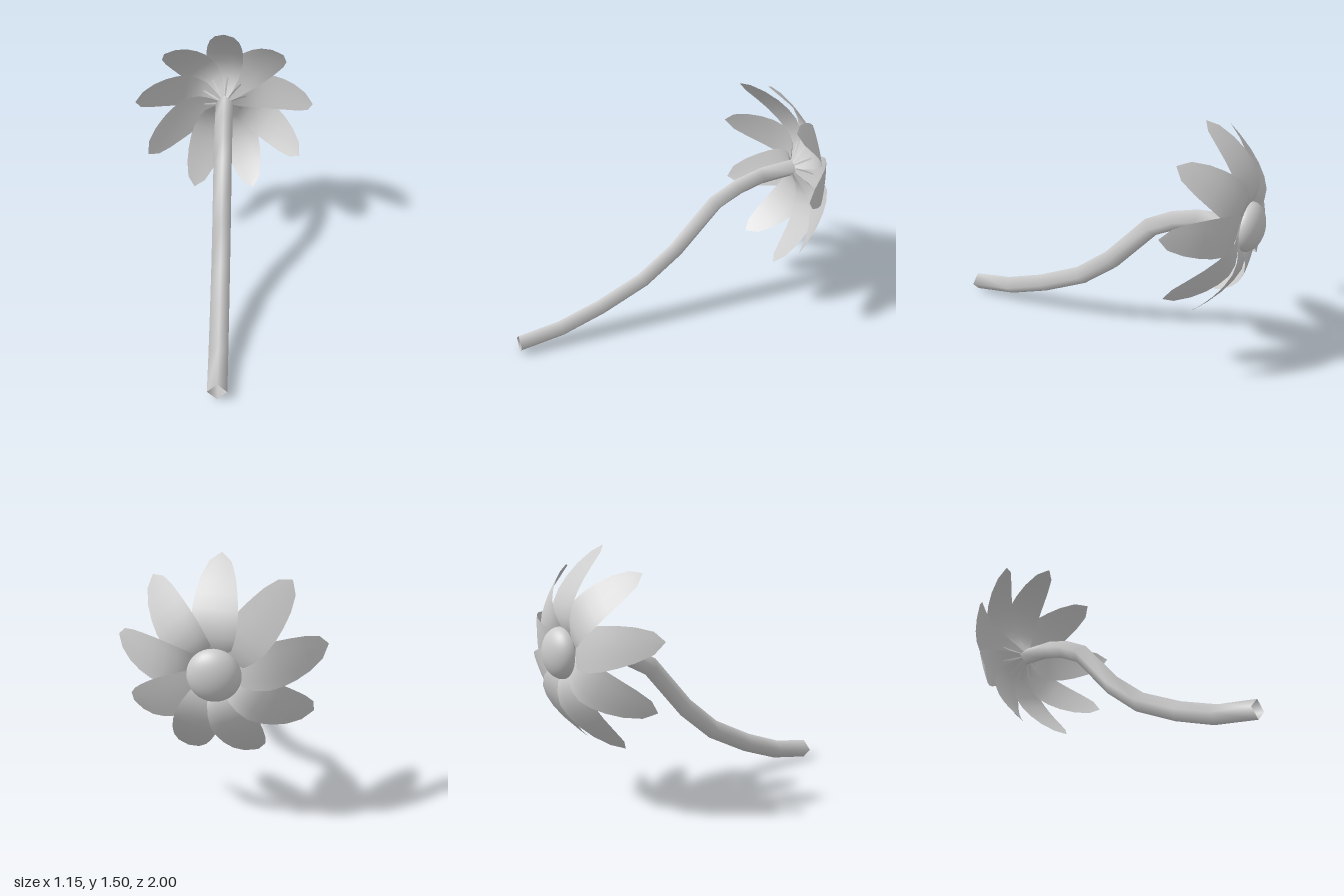
import * as THREE from 'three';

// Smooth surface through rows of points; wrap closes each row into a ring
function loft(rows, wrap) {
  const n = rows[0].length, cols = wrap ? n : n - 1, index = [];
  for (let i = 0; i < rows.length - 1; i++) {
    for (let j = 0; j < cols; j++) {
      const a = i * n + j, b = i * n + (j + 1) % n, c = a + n, d = b + n;
      index.push(a, b, c, b, d, c);
    }
  }
  const geo = new THREE.BufferGeometry();
  geo.setAttribute('position', new THREE.Float32BufferAttribute(rows.flat(2), 3));
  geo.setIndex(index);
  geo.computeVertexNormals();
  return geo;
}

// Square stem, set on edge and open at both ends
function stemGeometry() {
  const path = [[1, 0.06], [0.73, 0.1], [0.47, 0.188], [0.185, 0.32], [-0.035, 0.49],
    [-0.3, 0.775], [-0.455, 0.855], [-0.61, 0.9], [-0.82, 0.915]];
  const r = 0.058, last = path.length - 1;
  const rows = path.map(([z, y], i) => {
    const p = path[Math.max(i - 1, 0)], q = path[Math.min(i + 1, last)];
    const len = Math.hypot(q[0] - p[0], q[1] - p[1]);
    // the end cuts are upright
    const end = i === 0 || i === last;
    const uy = end ? 1 : (p[0] - q[0]) / len, uz = end ? 0 : (q[1] - p[1]) / len;
    return [[0, y + uy * r, z + uz * r], [-r, y, z], [0, y - uy * r, z - uz * r], [r, y, z]];
  });
  return loft(rows, true);
}

// One upright petal: [distance from centre, z, half width]
function petalGeometry() {
  const profile = [[0.03, -0.83, 0.025], [0.08, -0.865, 0.06], [0.14, -0.9, 0.092], [0.2, -0.91, 0.11],
    [0.27, -0.9, 0.122], [0.34, -0.865, 0.121], [0.41, -0.815, 0.111], [0.48, -0.75, 0.093],
    [0.545, -0.675, 0.06], [0.582, -0.625, 0.002]];
  const rows = profile.map(([r, z, w]) => [-1, -0.5, 0, 0.5, 1].map(t =>
    // the clockwise edge leans forward over its neighbour
    [t * w, r, z + t * w * 0.13 + 0.006 * t * t * (w / 0.12)]));
  return loft(rows, false);
}

export function createModel() {
  const grey = new THREE.MeshStandardMaterial({ color: 0xcccccc, side: THREE.DoubleSide });
  grey.name = 'light grey';
  const model = new THREE.Group();
  model.name = 'flower';

  const stem = new THREE.Mesh(stemGeometry(), grey);
  stem.name = 'stem';
  model.add(stem);

  // Ring of nine petals
  const head = new THREE.Group();
  head.name = 'flowerHead';
  head.position.y = 0.92;
  const petalShape = petalGeometry();
  for (let i = 0; i < 9; i++) {
    const petal = new THREE.Mesh(petalShape, grey);
    petal.name = 'petal' + (i + 1);
    petal.rotation.z = i * Math.PI * 2 / 9;
    head.add(petal);
  }

  // Domed centre on the back of the petals
  const dome = new THREE.SphereGeometry(0.145, 32, 12, 0, Math.PI * 2, 0, Math.PI / 2);
  dome.rotateX(-Math.PI / 2);
  dome.scale(1, 1, 0.09 / 0.145);
  const centre = new THREE.Mesh(dome, grey);
  centre.name = 'centre';
  centre.position.z = -0.91;
  head.add(centre);
  model.add(head);
  return model;
}
